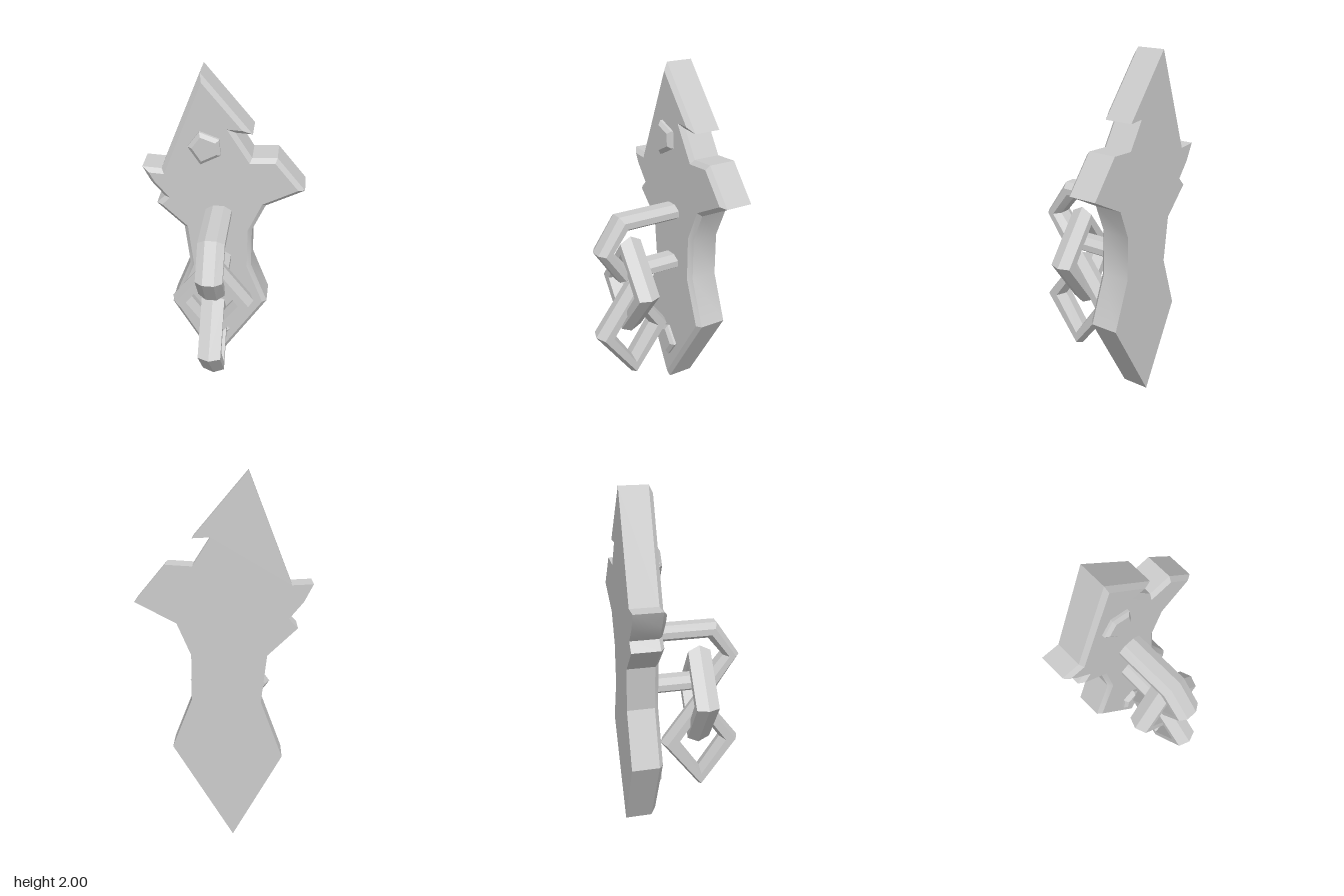
import * as THREE from 'three';
import { toCreasedNormals } from 'three/addons/utils/BufferGeometryUtils.js';

const grey = new THREE.MeshStandardMaterial({ color: 0xcccccc });

// Skin rows of equal-length rings; optionally join the last row to the first, or add end faces.
function loft(rows, { closed = false, caps = null } = {}) {
  const n = rows[0].length, index = [];
  const last = closed ? rows.length : rows.length - 1;
  for (let r = 0; r < last; r++) {
    const a = r * n, b = ((r + 1) % rows.length) * n;
    for (let i = 0; i < n; i++) {
      const j = (i + 1) % n;
      index.push(a + i, a + j, b + j, a + i, b + j, b + i);
    }
  }
  if (caps) {
    const top = (rows.length - 1) * n;
    for (const [a, b, c] of caps) index.push(top + a, top + b, top + c, a, c, b);
  }
  const geo = new THREE.BufferGeometry();
  geo.setAttribute('position', new THREE.Float32BufferAttribute(rows.flat(2), 3));
  geo.setIndex(index);
  return toCreasedNormals(geo, 0.45);
}

// Move a counter-clockwise outline inwards by d with mitred corners.
function inset(pts, d) {
  return pts.map((p, i) => {
    const a = pts[(i + pts.length - 1) % pts.length], b = pts[(i + 1) % pts.length];
    const e = p.clone().sub(a).normalize(), f = b.clone().sub(p).normalize();
    const m = new THREE.Vector2(-e.y - f.y, e.x + f.x);
    return p.clone().addScaledVector(m, d / (1 + e.dot(f)));
  });
}

// Flat slab whose front edge is chamfered.
function slab(outline, back, shoulder, front, bevel) {
  const pts = outline.map(([x, y]) => new THREE.Vector2(x, y));
  if (THREE.ShapeUtils.isClockWise(pts)) pts.reverse();
  const ring = (p, z) => p.map((v) => [v.x, v.y, z]);
  const small = inset(pts, bevel);
  const caps = THREE.ShapeUtils.triangulateShape(small, []);
  return loft([ring(pts, back), ring(pts, shoulder), ring(small, front)], { caps });
}

// Diamond link with a six-sided section: [half width, half height, depth] per edge.
function diamondLink() {
  const section = [
    [0.235, 0.31, 0], [0.21, 0.277, -0.066], [0.15, 0.212, -0.066],
    [0.125, 0.182, 0], [0.15, 0.212, 0.066], [0.21, 0.277, 0.066],
  ];
  const corners = [[1, 0], [0, 1], [-1, 0], [0, -1]];
  return loft(corners.map(([cx, cy]) => section.map(([w, h, z]) => [cx * w, cy * h, z])), { closed: true });
}

// Open staple swept in the yz plane: [y, z, mitre y, mitre z].
function staple() {
  const section = [
    [0.045, 0.032], [0.045, -0.032], [0.018, -0.075], [-0.018, -0.075],
    [-0.045, -0.032], [-0.045, 0.032], [-0.018, 0.075], [0.018, 0.075],
  ];
  const path = [
    [1.17, -0.22, 1, 0], [1.17, 0.175, 1, 0.55], [1.013, 0.288, 0, 1.05],
    [0.857, 0.175, -1, 0.55], [0.857, -0.22, -1, 0],
  ];
  return loft(path.map(([y, z, my, mz]) => section.map(([u, x]) => [x, y + u * my, z + u * mz])));
}

export function createModel() {
  const group = new THREE.Group();
  const add = (name, geo, x = 0, y = 0, z = 0) => {
    const mesh = new THREE.Mesh(geo, grey);
    mesh.name = name;
    mesh.position.set(x, y, z);
    group.add(mesh);
    return mesh;
  };

  // Jagged wall plate
  add('plate', slab([
    [-0.125, 2.0], [0.16, 1.665], [0.065, 1.67], [0.16, 1.522], [0.3, 1.53],
    [0.463, 1.335], [0.245, 1.222], [0.17, 1.05], [0.17, 0.8], [0.275, 0.53],
    [-0.053, 0], [-0.318, 0.475], [-0.2, 0.79], [-0.23, 1.05], [-0.388, 1.2],
    [-0.34, 1.25], [-0.415, 1.34], [-0.463, 1.433], [-0.352, 1.427],
  ], -0.347, -0.19, -0.167, 0.024));

  // Five-sided studs
  const studs = [
    ['upperStud', [[-0.13, 1.68], [-0.02, 1.64], [-0.012, 1.545], [-0.125, 1.485], [-0.195, 1.59]]],
    ['lowerStud', [[-0.11, 0.365], [-0.03, 0.4], [0.048, 0.3], [-0.02, 0.2], [-0.128, 0.27]]],
  ];
  for (const [name, outline] of studs) add(name, slab(outline, -0.18, -0.152, -0.135, 0.02));

  // Chain hanging from the plate
  add('staple', staple(), -0.025);
  add('upperLink', diamondLink(), -0.025, 0.76, 0.11);
  add('lowerLink', diamondLink(), -0.025, 0.475, 0.113).rotation.y = Math.PI / 2;

  return group;
}
